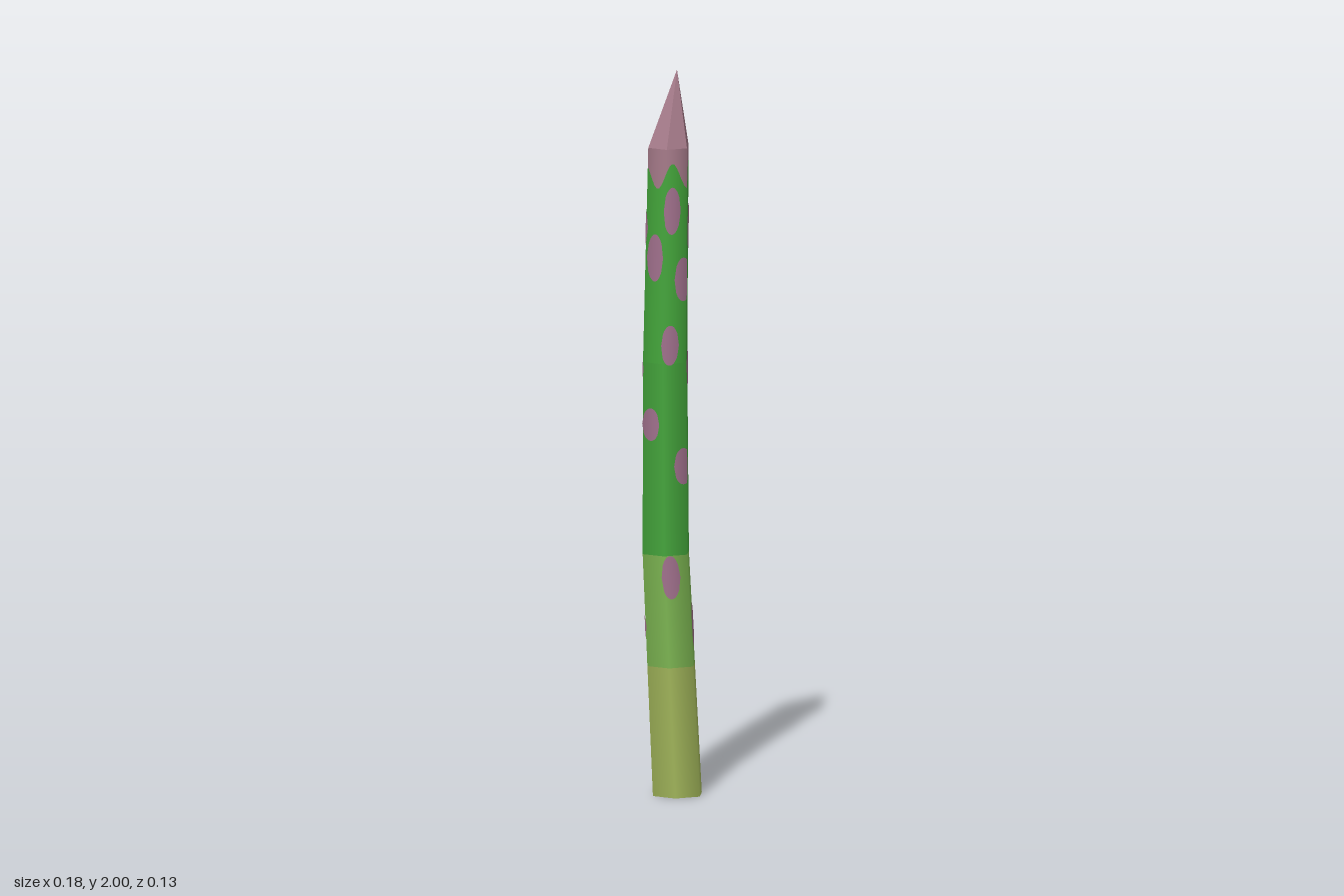
import * as THREE from 'three';

const mat = (name, color) => new THREE.MeshStandardMaterial({ name, color });

// Stalk sections: height, centre x, radius
const RINGS = [[0, 0.015, 0.074], [0.67, -0.02, 0.07], [1.2, -0.022, 0.067], [1.79, -0.012, 0.061]];
const APEX = [0.014, 2, 0];

// Point on the bent six-sided stalk; s counts corners round the stalk from +x towards +z
function stalkPoint(s, y, lift = 0) {
  let i = 0;
  while (i < RINGS.length - 2 && y > RINGS[i + 1][0]) i++;
  const [a, b] = [RINGS[i], RINGS[i + 1]];
  const t = (y - a[0]) / (b[0] - a[0]);
  const cx = THREE.MathUtils.lerp(a[1], b[1], t);
  const r = THREE.MathUtils.lerp(a[2], b[2], t) + lift;
  const k = Math.floor(s), f = s - k;
  const a0 = k * Math.PI / 3, a1 = (k + 1) * Math.PI / 3;
  return [
    cx + r * THREE.MathUtils.lerp(Math.cos(a0), Math.cos(a1), f),
    y,
    r * THREE.MathUtils.lerp(Math.sin(a0), Math.sin(a1), f),
  ];
}

// Skin patch between two height curves, following the facets of the stalk
function patch(name, material, s0, s1, steps, bottom, top, lift = 0) {
  const cols = [];
  for (let i = 0; i <= steps; i++) cols.push(s0 + (s1 - s0) * i / steps);
  for (let k = Math.ceil(s0); k <= s1; k++) {
    if (!cols.some((c) => Math.abs(c - k) < 1e-6)) cols.push(k);
  }
  cols.sort((a, b) => a - b);
  const pos = [], nor = [], idx = [];
  cols.forEach((s, i) => {
    pos.push(...stalkPoint(s, bottom(s), lift), ...stalkPoint(s, top(s), lift));
    const n = [Math.cos(s * Math.PI / 3), 0, Math.sin(s * Math.PI / 3)];
    nor.push(...n, ...n);
    if (i < cols.length - 1) {
      const a = i * 2;
      idx.push(a + 2, a, a + 1, a + 2, a + 1, a + 3);
    }
  });
  const g = new THREE.BufferGeometry();
  g.setAttribute('position', new THREE.Float32BufferAttribute(pos, 3));
  g.setAttribute('normal', new THREE.Float32BufferAttribute(nor, 3));
  g.setIndex(idx);
  const mesh = new THREE.Mesh(g, material);
  mesh.name = name;
  return mesh;
}

// Six-sided fan from a ring to a point, with flat facets
function fan(name, material, y, point, up) {
  const pos = [];
  for (let k = 0; k < 6; k++) {
    const a = stalkPoint(k, y), b = stalkPoint(k + 1, y);
    pos.push(...(up ? b : a), ...(up ? a : b), ...point);
  }
  const g = new THREE.BufferGeometry();
  g.setAttribute('position', new THREE.Float32BufferAttribute(pos, 3));
  g.computeVertexNormals();
  const mesh = new THREE.Mesh(g, material);
  mesh.name = name;
  return mesh;
}

export function createModel() {
  const group = new THREE.Group();
  group.name = 'asparagusSpear';
  const base = mat('paleOlive', 0x9fb358);
  const lower = mat('lightGreen', 0x7bb450);
  const green = mat('stalkGreen', 0x43a53a);
  const pink = mat('tipPink', 0xa57a89);
  const spot = mat('spotMauve', 0xa0708c);

  // Stalk colour bands, ending in a wavy edge below the tip
  const at = (y) => () => y;
  const wave = (s) => 1.715 - 0.035 * Math.cos((s - 0.95) * Math.PI * 2 / 1.5);
  group.add(
    fan('cutEnd', base, 0, [RINGS[0][1], 0, 0], false),
    patch('stalkBase', base, 0, 6, 6, at(0), at(0.36)),
    patch('stalkLower', lower, 0, 6, 6, at(0.36), at(0.67)),
    patch('stalkMiddle', green, 0, 6, 6, at(0.67), at(1.2)),
    patch('stalkUpper', green, 0, 6, 48, at(1.2), wave),
    patch('tipCollar', pink, 0, 6, 48, wave, at(1.79)),
    fan('tip', pink, 1.79, APEX, true),
  );

  // Oval scale spots (position round stalk, height, half height), repeated on the opposite side
  const spots = [
    [0.33, 0.47, 0.06], [1.75, 0.61, 0.06], [1.15, 0.915, 0.05], [2.6, 1.03, 0.045],
    [1.72, 1.25, 0.055], [0.33, 1.18, 0.05], [1.15, 1.43, 0.06], [2.5, 1.49, 0.065],
    [1.7, 1.62, 0.065], [0.28, 1.57, 0.065],
  ];
  const halfWidth = 0.4;
  for (const turn of [0, 3]) {
    for (const [s, y, h] of spots) {
      const c = s + turn;
      const oval = (q) => h * Math.sqrt(Math.max(0, 1 - ((q - c) / halfWidth) ** 2));
      group.add(patch('scaleSpot', spot, c - halfWidth, c + halfWidth, 10,
        (q) => y - oval(q), (q) => y + oval(q), 0.002));
    }
  }
  return group;
}
